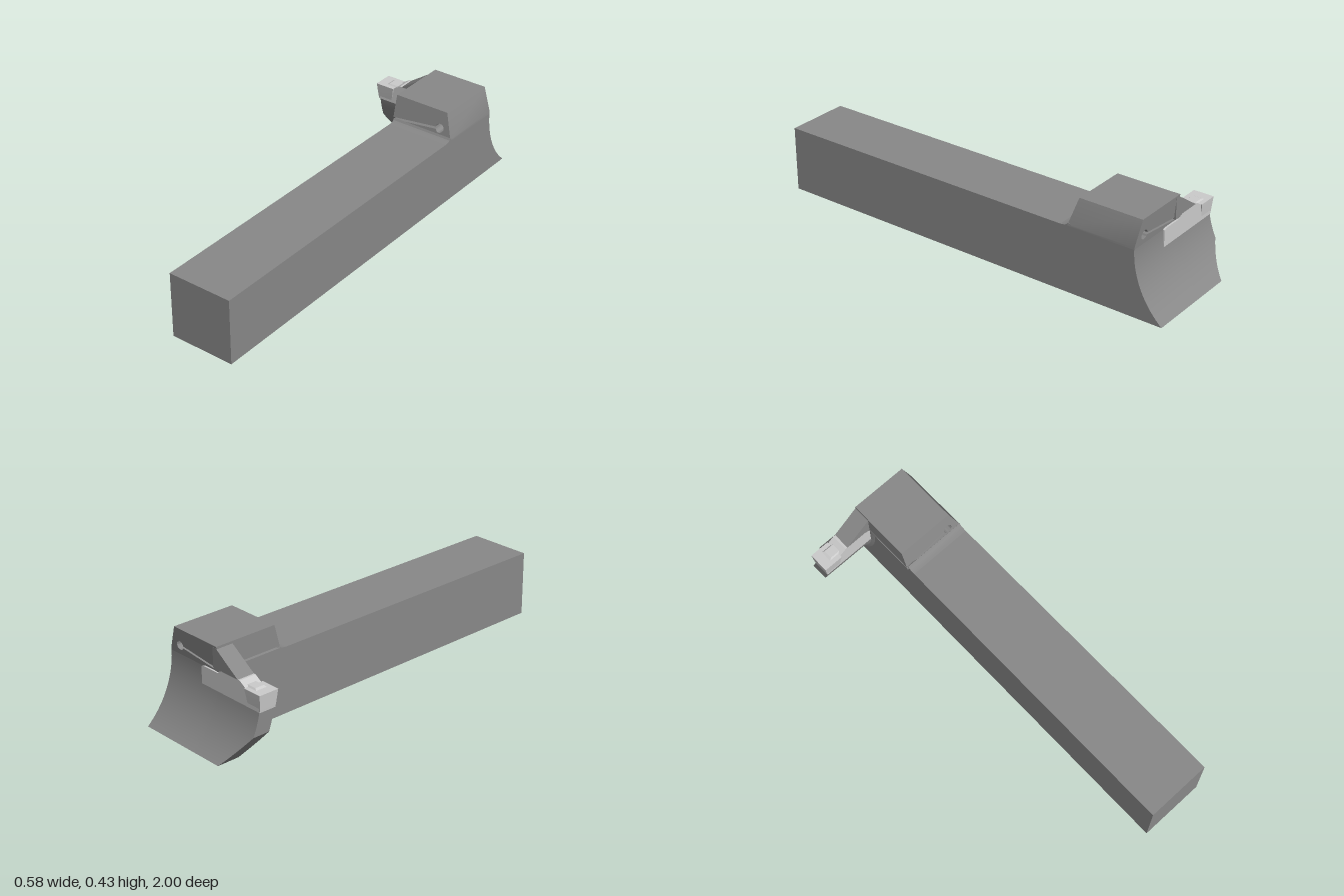
import * as THREE from 'three';
import { toCreasedNormals } from 'three/addons/utils/BufferGeometryUtils.js';

const steel = new THREE.MeshStandardMaterial({ color: 0x888888 });
const carbide = new THREE.MeshStandardMaterial({ color: 0xcccccc });

// Concave rear face: an arc about a horizontal axis behind the tool
const AXIS_Z = -1.264, AXIS_Y = 0.31, R_BACK = 0.407, R_FRONT = 0.482;
const arcZ = (r, y) => AXIS_Z + Math.sqrt(r * r - (y - AXIS_Y) ** 2);
const rows = (a, b, n) => Array.from({ length: n + 1 }, (_, i) => a + (b - a) * i / n);
const polygon = pts => new THREE.Shape(pts.map(p => new THREE.Vector2(...p)));

function part(group, name, geometry, material) {
  const mesh = new THREE.Mesh(toCreasedNormals(geometry, 0.45), material);
  mesh.name = name;
  group.add(mesh);
}

// Extrude an (x, y) outline from z0 to z1
function extrudeZ(shape, z0, z1) {
  const g = new THREE.ExtrudeGeometry(shape, { depth: z1 - z0, bevelEnabled: false, curveSegments: 32 });
  return g.translate(0, 0, z0);
}

// Extrude a (z, y) outline from x0 to x1
function extrudeX(shape, x0, x1) {
  const g = new THREE.ExtrudeGeometry(shape, { depth: x1 - x0, bevelEnabled: false });
  return g.rotateY(-Math.PI / 2).translate(x1, 0, 0);
}

// Join rings of [x, y, z] from bottom to top, counter-clockwise seen from above
function loft(rings) {
  const n = rings[0].length, index = [];
  for (let r = 0; r < rings.length - 1; r++) {
    for (let i = 0; i < n; i++) {
      const a = r * n + i, b = r * n + (i + 1) % n;
      index.push(a, b, b + n, a, b + n, a + n);
    }
  }
  const top = (rings.length - 1) * n;
  for (let i = 1; i < n - 1; i++) index.push(0, i + 1, i, top, top + i, top + i + 1);
  const g = new THREE.BufferGeometry();
  g.setAttribute('position', new THREE.Float32BufferAttribute(rings.flat(2), 3));
  g.setIndex(index);
  return g;
}

// Slice of the curved blade with a small fillet against the shank
function bladeRing(y, left) {
  const zb = arcZ(R_BACK, y), zf = arcZ(R_FRONT, y);
  return [
    [0, y, zb], [left, y, zb], [left, y, zf], [Math.max(left, -0.04), y, zf],
    [-0.025, y, zf + 0.008], [-0.018, y, zf + 0.025], [0, y, zf + 0.025],
  ];
}

// Rectangular slice
const boxRing = (y, x0, x1, z0, z1) => [[x1, y, z0], [x0, y, z0], [x0, y, z1], [x1, y, z1]];

export function createModel() {
  const model = new THREE.Group();
  model.name = 'groovingToolHolder';

  // Square shank ending in the concave rear face
  const arc = rows(AXIS_Y, 0, 24).map(y => [arcZ(R_BACK, y), y]);
  part(model, 'shank', extrudeX(polygon([[1, 0], [1, 0.31], ...arc]), -0.018, 0.29), steel);

  // Clamping head with a flex slit running into a round relief hole
  const head = polygon([[0.29, 0.31], [0.29, 0.32], [0.25, 0.433], [-0.025, 0.433], [-0.025, 0.329], [0.2042, 0.355]]);
  head.absarc(0.225, 0.353, 0.021, 3.046, -2.75, true);
  head.lineTo(-0.025, 0.319);
  head.lineTo(-0.025, 0.31);
  const headGeometry = extrudeZ(head, 0, 1);
  const pos = headGeometry.attributes.position;
  for (let i = 0; i < pos.count; i++) {
    // Slope the front and rear faces
    const h = pos.getY(i) - 0.31;
    pos.setZ(i, pos.getZ(i) > 0.5 ? -0.53 - h * 0.245 : -0.857 - h * 0.085);
  }
  part(model, 'clampHead', headGeometry, steel);

  // Fillet where the head rises from the shank
  part(model, 'headFillet', extrudeX(polygon([
    [-0.56, 0.31], [-0.495, 0.31], [-0.515, 0.3125], [-0.527, 0.318], [-0.5335, 0.327],
  ]), -0.018, 0.29), steel);

  // Curved support blade with its lower corner cut away
  const bladeRows = [...rows(0, 0.13, 12), ...rows(0.145, 0.232, 7)];
  part(model, 'supportBlade', loft(bladeRows.map(y =>
    bladeRing(y, y < 0.13 ? -0.175 - 0.105 * y / 0.13 : -0.28))), steel);
  part(model, 'bladeRoot', loft([0.232, 0.27, 0.31].map(y => bladeRing(y, -0.025))), steel);

  // Sloped finger pressing on the insert
  part(model, 'clampFinger', extrudeZ(polygon([
    [-0.155, 0.333], [-0.05, 0.333], [-0.025, 0.322], [0, 0.325], [0, 0.425], [-0.025, 0.422], [-0.11, 0.363],
  ]), -0.867, -0.783), steel);

  // Insert bar, reaching into the pocket at the rear of the head
  part(model, 'insertBar', extrudeZ(polygon([
    [-0.28, 0.232], [0.08, 0.232], [0.08, 0.31], [0.065, 0.316], [-0.025, 0.316],
    [-0.05, 0.333], [-0.165, 0.333], [-0.2, 0.311], [-0.28, 0.311],
  ]), -0.866, -0.783), carbide);

  // Cutting tip, widening towards the edge, with a chip breaker ridge
  part(model, 'cuttingTip', loft([
    boxRing(0.232, -0.285, -0.22, -0.864, -0.785),
    boxRing(0.25, -0.287, -0.21, -0.866, -0.782),
    boxRing(0.312, -0.293, -0.198, -0.871, -0.774),
  ]), carbide);
  part(model, 'chipBreaker', loft([
    boxRing(0.311, -0.25, -0.185, -0.852, -0.795),
    boxRing(0.318, -0.237, -0.185, -0.845, -0.802),
  ]), carbide);

  return model;
}
